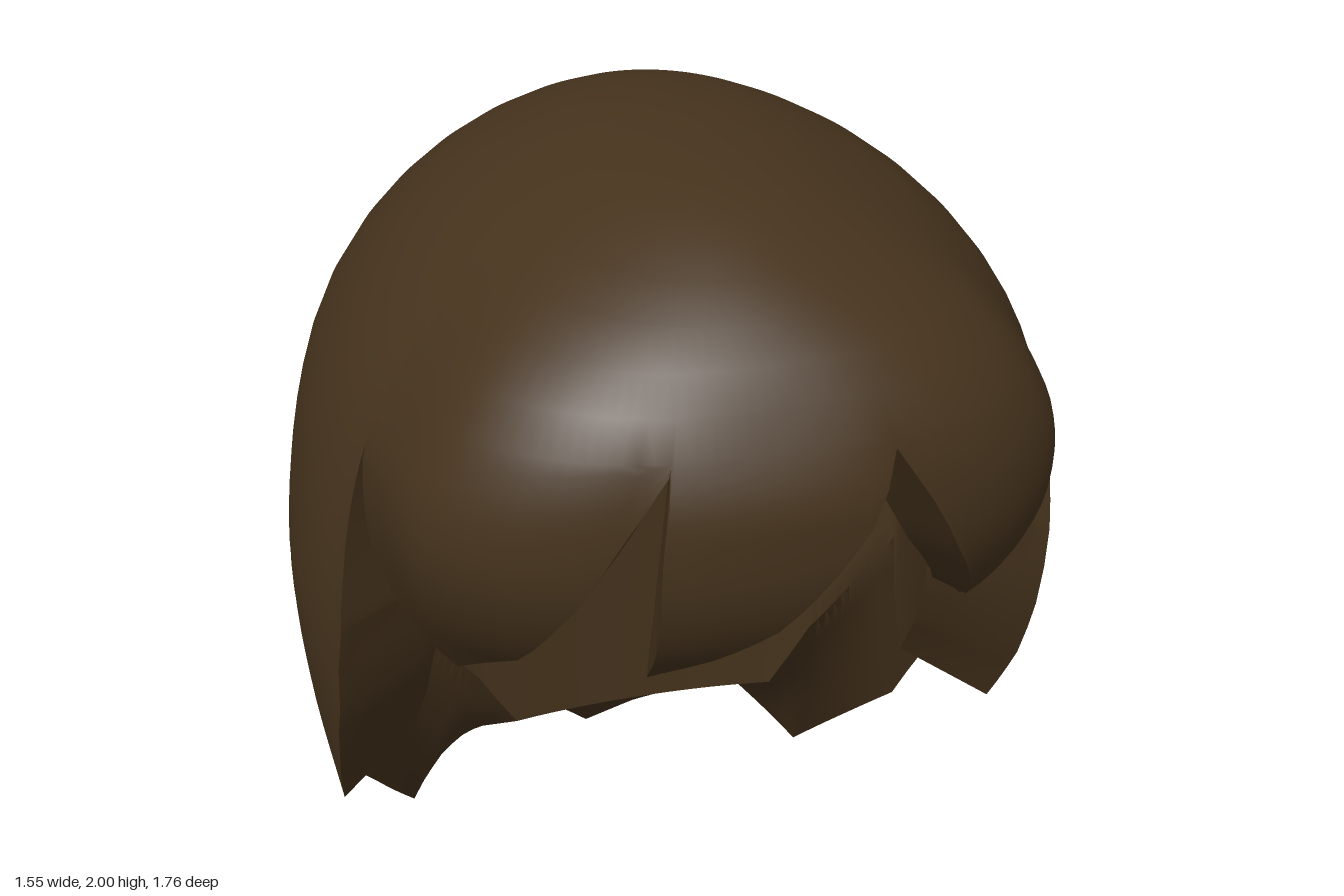
import * as THREE from 'three';
import { toCreasedNormals } from 'three/addons/utils/BufferGeometryUtils.js';

const { smoothstep, degToRad, lerp } = THREE.MathUtils;
const SPLIT = 1.68; // height above which all locks share one dome
const DOME_ROWS = 9, HANG_ROWS = 15, RIM_ROWS = 6;

// Cross-section tables: [y, half width, front reach, back reach, centre z], top to bottom
const DOME = [
  [2, 0, 0.1, -0.1, 0.1], [1.98, 0.17, 0.42, 0.15, 0.1], [1.93, 0.3, 0.58, 0.32, 0.1],
  [1.84, 0.455, 0.73, 0.5, 0.1], [1.74, 0.565, 0.81, 0.63, 0.1], [1.63, 0.645, 0.845, 0.735, 0.1],
  [1.54, 0.69, 0.85, 0.795, 0.1],
];
const SIDES = [...DOME,
  [1.42, 0.728, 0.865, 0.842, 0.1], [1.3, 0.752, 0.875, 0.866, 0.1], [1.1, 0.773, 0.86, 0.875, 0.1],
  [0.85, 0.76, 0.84, 0.84, 0.1], [0.6, 0.725, 0.83, 0.795, 0.1], [0.3, 0.68, 0.82, 0.73, 0.1],
  [0, 0.71, 0.8, 0.74, 0.1],
];
const FRINGE = [...DOME,
  [1.4, 0.7, 0.835, 0.8, 0.1], [1.25, 0.68, 0.775, 0.8, 0.1], [1.15, 0.655, 0.69, 0.8, 0.1],
  [1.05, 0.61, 0.61, 0.8, 0.1],
];
// the hollow for the head is shallow: its back wall stands just behind the middle
const LINING_DOME = [
  [1.82, 0, 0.3, -0.3, 0.3], [1.8, 0.2, 0.48, -0.14, 0.28], [1.74, 0.38, 0.63, -0.04, 0.22],
  [1.64, 0.5, 0.71, 0.03, 0.12],
];
const LINING = [...LINING_DOME,
  [1.45, 0.555, 0.73, 0.1, 0.02], [1.1, 0.55, 0.74, 0.12, 0], [0.4, 0.545, 0.74, 0.14, 0],
];
const FRINGE_LINING = [...LINING_DOME,
  [1.45, 0.58, 0.73, 0.1, 0.02], [1.25, 0.61, 0.69, 0.1, 0.05], [1.05, 0.58, 0.57, 0.1, 0.1],
];

// Smooth surface: (angle from the front, height) -> point
function makeSurface(table, middleSwell = 0) {
  const top = table[0][0];
  const depth = (y) => Math.sqrt(Math.max(0, top - y));
  const spline = new THREE.CubicInterpolant(
    table.map((r) => depth(r[0])), table.flatMap((r) => r.slice(1)), 4);
  const point = (a, y) => {
    const [w, f, b, z0] = spline.evaluate(depth(y));
    const c = Math.cos(a);
    // front corners are fuller than an ellipse, fading out at the temples
    const corner = Math.sin(2 * a) ** 2 * smoothstep(c, 0.31, 0.68);
    const full = 1 + 0.105 * corner * smoothstep(2 - y, 0, 0.3)
      * (0.5 + 0.5 * smoothstep(y, 1.07, 1.45));
    let z = z0 + (c > 0 ? f - z0 : b + z0) * c * full;
    // the middle lock stands a little proud of its neighbours
    z += middleSwell * Math.sqrt(Math.max(0, 1 - (a / 0.33) ** 2))
      * smoothstep(1.75 - y, 0, 0.2) * smoothstep(y, 1.1, 1.4);
    return [w * Math.sin(a) * full, y, z];
  };
  return { top, point };
}

// Points of one column from crown to hem
function column(surface, angle, hem) {
  const pts = [];
  for (let j = 0; j <= DOME_ROWS; j++) {
    pts.push(surface.point(angle, surface.top - (surface.top - SPLIT) * (j / DOME_ROWS) ** 2));
  }
  for (let j = 1; j <= HANG_ROWS; j++) {
    pts.push(surface.point(angle, SPLIT + (hem - SPLIT) * (j / HANG_ROWS)));
  }
  return pts;
}

// Straight run of points between the outer and the inner hem
function rim(from, to) {
  return Array.from({ length: RIM_ROWS - 1 },
    (_, j) => from.map((v, k) => lerp(v, to[k], (j + 1) / RIM_ROWS)));
}

// Thick hair patch; hem keys are [degrees, outer hem y, inner hem y]
function makePatch(name, outer, inner, keys, material) {
  const pos = [];
  const strip = (left, right) => {
    for (let j = 0; j < left.length - 1; j++) {
      pos.push(...left[j], ...left[j + 1], ...right[j + 1]);
      pos.push(...left[j], ...right[j + 1], ...right[j]);
    }
  };

  const cols = [];
  keys.forEach((key, k) => {
    const next = keys[k + 1];
    const n = next ? Math.ceil((next[0] - key[0]) / 3) : 1;
    for (let i = 0; i < n; i++) {
      const [deg, hem, inHem] = key.map((v, m) => (next ? lerp(v, next[m], i / n) : v));
      const a = degToRad(deg);
      cols.push({ out: column(outer, a, hem), in: column(inner, a, inHem) });
    }
  });

  // outside, rim and lining in one sweep per column
  const loops = cols.map((c) => [
    ...c.out, ...rim(c.out.at(-1), c.in.at(-1)), ...[...c.in].reverse()]);
  for (let i = 0; i < loops.length - 1; i++) strip(loops[i], loops[i + 1]);

  // walls closing both ends
  const first = cols[0], last = cols[cols.length - 1];
  strip(first.in.slice(DOME_ROWS), first.out.slice(DOME_ROWS));
  strip(last.out.slice(DOME_ROWS), last.in.slice(DOME_ROWS));

  const geo = new THREE.BufferGeometry();
  geo.setAttribute('position', new THREE.Float32BufferAttribute(pos, 3));
  const mesh = new THREE.Mesh(toCreasedNormals(geo, 0.7), material);
  mesh.name = name;
  return mesh;
}

export function createModel() {
  const group = new THREE.Group();
  group.name = 'hair';
  const material = new THREE.MeshStandardMaterial({ color: 0x46331d });

  // fringe: two side locks and a lopsided middle lock
  const lock = [
    [17.8, 1.66, 1.6], [27, 1.42, 1.38], [37, 1.21, 1.21], [51.5, 1.07, 1.09], [68, 1.28, 1.3],
  ];
  const fringeKeys = [
    ...lock.map(([a, o, i]) => [-a, o, i]).reverse(),
    [-17.2, 1.15, 1.18], [0, 1.32, 1.33], [12.5, 1.53, 1.5],
    ...lock,
  ];
  group.add(makePatch('fringe', makeSurface(FRINGE, 0.03), makeSurface(FRINGE_LINING),
    fringeKeys, material));

  // side locks and long back, mirrored about the back centre
  const half = [
    [68, 1.15, 1.17], [71.2, 0.94, 0.98], [76.6, 0.77, 0.83], [85.3, 0.58, 0.67],
    [97.3, 0.97, 0.92], [98.7, 0.8, 0.91], [102.3, 0.6, 0.89], [110.9, 0.35, 0.86],
    [135.6, 0.02, 0.65], [147, 0.14, 0.5], [156, 0.24, 0.5],
  ];
  const backKeys = [...half, [180, 0.0, 0.5],
    ...half.map(([a, o, i]) => [360 - a, o, i]).reverse()];
  group.add(makePatch('sideAndBackHair', makeSurface(SIDES), makeSurface(LINING),
    backKeys, material));

  return group;
}
